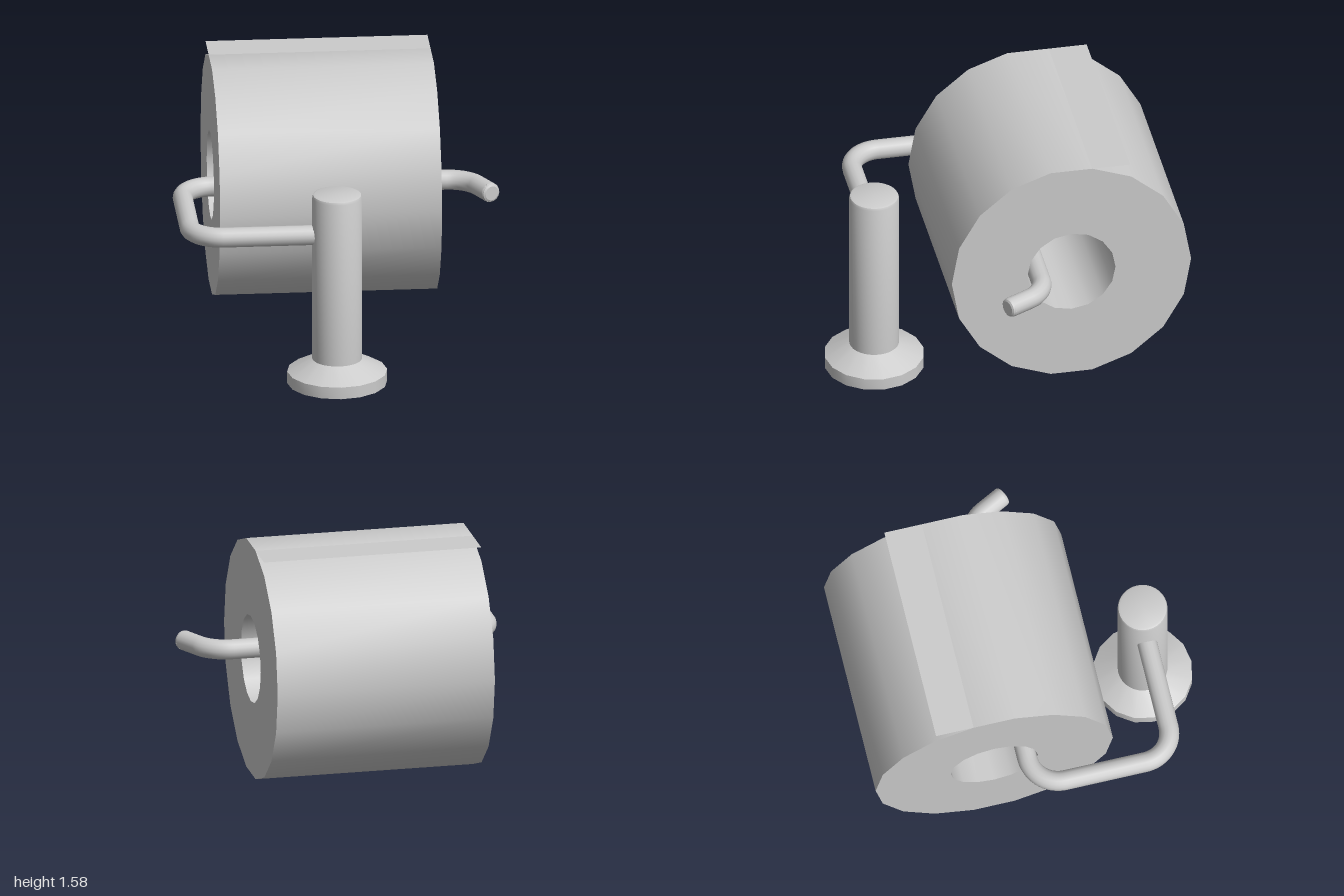
import * as THREE from 'three';
import { toCreasedNormals } from 'three/addons/utils/BufferGeometryUtils.js';

const material = new THREE.MeshStandardMaterial({ color: 0xcccccc, side: THREE.DoubleSide });
const AXIS_Y = 0.893; // height of the rod and of the roll centre
const ROD_R = 0.057;

function addMesh(parent, name, geometry) {
  const mesh = new THREE.Mesh(geometry, material);
  mesh.name = name;
  parent.add(mesh);
  return mesh;
}

function lathe(points, sides) {
  const geometry = new THREE.LatheGeometry(points.map(([r, y]) => new THREE.Vector2(r, y)), sides);
  return toCreasedNormals(geometry, 0.45);
}

function polygon(radius, sides) {
  return Array.from({ length: sides }, (_, i) => {
    const a = (i / sides) * Math.PI * 2;
    return new THREE.Vector2(Math.cos(a) * radius, Math.sin(a) * radius);
  });
}

// Path through [x, z, fillet] corners, with rounded bends
function roundedPath(corners) {
  const path = new THREE.CurvePath();
  const pts = corners.map(([x, z]) => new THREE.Vector3(x, AXIS_Y, z));
  let from = pts[0];
  for (let i = 1; i < pts.length - 1; i++) {
    const p = pts[i], d = corners[i][2];
    const a = p.clone().add(pts[i - 1].clone().sub(p).setLength(d));
    const b = p.clone().add(pts[i + 1].clone().sub(p).setLength(d));
    path.add(new THREE.LineCurve3(from, a));
    path.add(new THREE.CubicBezierCurve3(a, a.clone().lerp(p, 0.56), b.clone().lerp(p, 0.56), b));
    from = b;
  }
  path.add(new THREE.LineCurve3(from, pts[pts.length - 1]));
  return path;
}

export function createModel() {
  const group = new THREE.Group();
  group.name = 'rollHolder';

  // Stand: hollow flared foot and upright post
  const stand = new THREE.Group();
  stand.name = 'stand';
  stand.position.set(-0.05, 0, 0.714);
  group.add(stand);
  addMesh(stand, 'foot', lathe([[0.285, 0], [0.285, 0.07], [0.142, 0.145]], 16));
  addMesh(stand, 'post', lathe([[0.142, 0.145], [0.142, 1.122], [0.137, 1.135], [0.125, 1.14], [0, 1.14]], 32));

  // Bent rod leaving the post, looping back and passing through the roll
  const path = roundedPath([
    [-0.15, 0.71], [-0.877, 0.71, 0.18], [-0.877, -0.115, 0.18], [0.757, -0.115, 0.11], [0.872, 0.11],
  ]);
  addMesh(group, 'rod', new THREE.TubeGeometry(path, 160, ROD_R, 16, false));

  // Softened tip closing the free end of the rod
  const tip = addMesh(group, 'rodTip', lathe([[ROD_R, 0], [0.053, 0.012], [0.042, 0.018], [0, 0.018]], 16));
  tip.position.copy(path.getPoint(1));
  tip.quaternion.setFromUnitVectors(new THREE.Vector3(0, 1, 0), path.getTangent(1));

  // Paper roll: thick faceted ring lying along x
  const x0 = -0.69, width = 1.265, radius = 0.693, rollZ = -0.305;
  const ring = new THREE.Shape(polygon(radius, 18));
  ring.holes.push(new THREE.Path(polygon(0.255, 16).reverse()));
  const rollGeometry = new THREE.ExtrudeGeometry(ring, { depth: width, bevelEnabled: false });
  rollGeometry.rotateY(Math.PI / 2);
  const roll = addMesh(group, 'paperRoll', toCreasedNormals(rollGeometry, 0.6));
  roll.position.set(x0, AXIS_Y, rollZ);

  // Loose sheet continuing the flat top of the roll towards the back
  const startZ = rollZ - radius * Math.cos(Math.PI * 4 / 9), endZ = -0.645;
  const sheet = addMesh(group, 'looseSheet', new THREE.PlaneGeometry(width, startZ - endZ).rotateX(-Math.PI / 2));
  sheet.position.set(x0 + width / 2, AXIS_Y + radius * Math.sin(Math.PI * 4 / 9), (startZ + endZ) / 2);

  return group;
}
